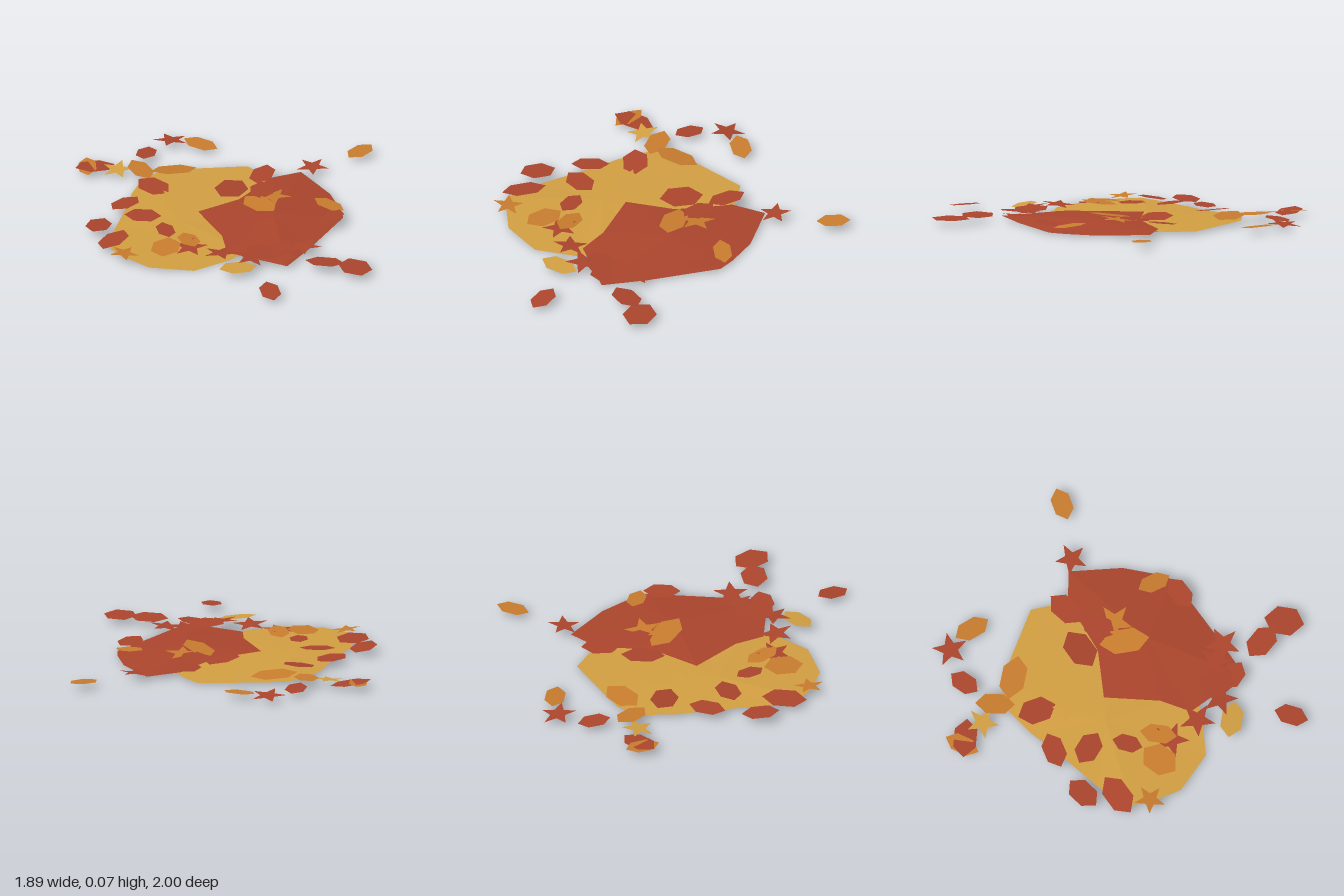
import * as THREE from 'three';

const paint = (name, color) => {
  const m = new THREE.MeshStandardMaterial({ color, side: THREE.DoubleSide });
  m.name = name;
  return m;
};

// Flat-shaded fan of triangles from a centre point to a closed rim
function fan(centre, rim) {
  const pos = [];
  rim.forEach((p, i) => pos.push(...centre, ...rim[(i + 1) % rim.length], ...p));
  const g = new THREE.BufferGeometry();
  g.setAttribute('position', new THREE.Float32BufferAttribute(pos, 3));
  g.computeVertexNormals();
  return g;
}

// Unit leaf: long axis on x, length and width 1
const leafGeo = fan([0, 0, 0], [
  [-0.5, 0, 0.08], [-0.27, 0, -0.42], [0.2, 0, -0.5],
  [0.5, 0, -0.08], [0.27, 0, 0.42], [-0.2, 0, 0.5],
]);

// Unit five-pointed star leaf, one tip towards -z
const starGeo = fan([0, 0, 0], Array.from({ length: 10 }, (_, i) => {
  const a = (i * Math.PI) / 5, r = i % 2 ? 0.42 : 1;
  return [r * Math.sin(a), 0, -r * Math.cos(a)];
}));

// Heap patches: rim points are x, y, z
const goldRim = [
  [-0.43, 0.012, -0.51], [-0.28, 0.015, -0.63], [-0.14, 0.015, -0.64], [0, 0.014, -0.58],
  [0.27, 0.01, -0.45], [0.29, 0.008, -0.31], [0.26, 0.006, -0.02], [-0.2, 0.012, 0.07],
  [-0.27, 0.006, 0.39], [-0.4, 0.002, 0.42], [-0.63, 0, 0.42], [-0.82, 0.008, 0.27],
  [-0.88, 0.018, 0.1], [-0.89, 0.022, 0], [-0.77, 0.015, -0.17], [-0.57, 0.012, -0.36],
];
const redRim = [
  [-0.27, 0.036, -0.1], [0, 0.032, -0.11], [0.15, 0.027, -0.18], [0.28, 0.022, -0.25],
  [0.47, 0.015, -0.23], [0.47, 0.006, 0.06], [0.42, 0.005, 0.24], [0.38, 0.005, 0.33],
  [0.03, 0.004, 0.54], [-0.19, 0.01, 0.66], [-0.38, 0.016, 0.36], [-0.31, 0.028, 0.2],
];

// Leaves: tip x, tip z, other tip x, other tip z, width
const redLeaves = [
  [-0.55, -0.89, -0.33, -0.83, 0.13], [-0.19, -0.78, -0.06, -0.9, 0.11],
  [-0.34, -0.57, -0.3, -0.36, 0.14], [-0.65, -0.37, -0.45, -0.41, 0.12],
  [-0.89, -0.2, -0.72, -0.31, 0.13], [-0.63, -0.27, -0.48, -0.14, 0.13],
  [-0.94, -0.02, -0.72, -0.12, 0.14], [-0.51, -0.07, -0.58, 0.08, 0.1],
  [-0.29, 0.42, -0.18, 0.6, 0.17], [-0.26, 0.54, -0.14, 0.66, 0.12],
  [-0.41, 0.81, -0.49, 0.98, 0.11], [-0.09, 0.69, 0.05, 0.85, 0.14],
  [0.13, 0.8, 0.05, 1, 0.17], [-0.18, 0.36, -0.04, 0.23, 0.12],
  [0.2, 0.4, 0.38, 0.31, 0.11], [-0.1, -0.16, 0.12, -0.25, 0.16],
  [0.07, -0.02, 0.2, -0.18, 0.13], [0.16, -0.2, 0.33, -0.33, 0.13],
];
const orangeLeaves = [
  [-0.53, -0.8, -0.42, -0.96, 0.1], [-0.24, -0.79, -0.28, -0.58, 0.12],
  [-0.24, -0.62, 0, -0.53, 0.14], [0.14, -0.87, 0.22, -0.68, 0.11],
  [-0.73, 0.24, -0.57, 0.1, 0.16], [-0.47, 0.08, -0.54, 0.27, 0.11],
  [0.33, 0.13, 0.39, 0.31, 0.1], [0.04, -0.1, 0.03, 0.17, 0.14],
  [0.76, -0.22, 0.94, -0.25, 0.11],
];
const goldLeaves = [[-0.55, 0.54, -0.35, 0.61, 0.12]];

// Star leaves: x, z, radius, turn
const redStars = [
  [0.07, -0.9, 0.1, -0.2], [0.53, -0.21, 0.09, 0.1], [-0.54, 0.24, 0.1, 0.5],
  [-0.44, 0.39, 0.1, 0.3], [-0.33, 0.52, 0.1, 0.6], [-0.02, 0.56, 0.1, 0.1],
  [-0.11, 0.51, 0.09, 0.5],
];
const orangeStars = [[-0.87, 0.1, 0.085, 0.2], [0.15, -0.01, 0.105, 0.2]];
const goldStars = [[-0.36, -0.76, 0.09, 0.4], [-0.31, -0.29, 0.095, 0]];

export function createModel() {
  const model = new THREE.Group();
  const gold = paint('gold', 0xd29f42);
  const red = paint('russet', 0xab452d);
  const orange = paint('orange', 0xc87c2e);
  let count = 0;

  const add = (name, geo, material) => {
    const mesh = new THREE.Mesh(geo, material);
    mesh.name = name;
    model.add(mesh);
    return mesh;
  };

  // Lay a leaf on the heap with a small varied tilt
  const lay = (mesh, x, z, turn) => {
    const k = count++;
    const rise = Math.max(0, 1 - Math.hypot(x + 0.1, z) / 0.85);
    mesh.position.set(x, 0.031 + 0.03 * rise + 0.002 * (k % 3), z);
    mesh.rotation.set(0.1 * Math.sin(k * 2.4), turn, 0.09 * Math.cos(k * 1.7), 'XZY');
  };

  const addLeaves = (list, material) => list.forEach(([x0, z0, x1, z1, width]) => {
    const leaf = add('leaf', leafGeo, material);
    leaf.scale.set(Math.hypot(x1 - x0, z1 - z0), 1, width);
    lay(leaf, (x0 + x1) / 2, (z0 + z1) / 2, -Math.atan2(z1 - z0, x1 - x0));
  });

  const addStars = (list, material) => list.forEach(([x, z, r, turn]) => {
    const star = add('starLeaf', starGeo, material);
    star.scale.set(r, 1, r);
    lay(star, x, z, turn);
  });

  // Two overlapping shallow heaps
  add('goldHeap', fan([-0.4, 0.025, -0.1], goldRim), gold);
  add('russetHeap', fan([0.05, 0.045, 0.15], redRim), red);

  // Scattered leaves
  addLeaves(orangeLeaves, orange);
  addLeaves(redLeaves, red);
  addLeaves(goldLeaves, gold);
  addStars(redStars, red);
  addStars(orangeStars, orange);
  addStars(goldStars, gold);
  return model;
}
